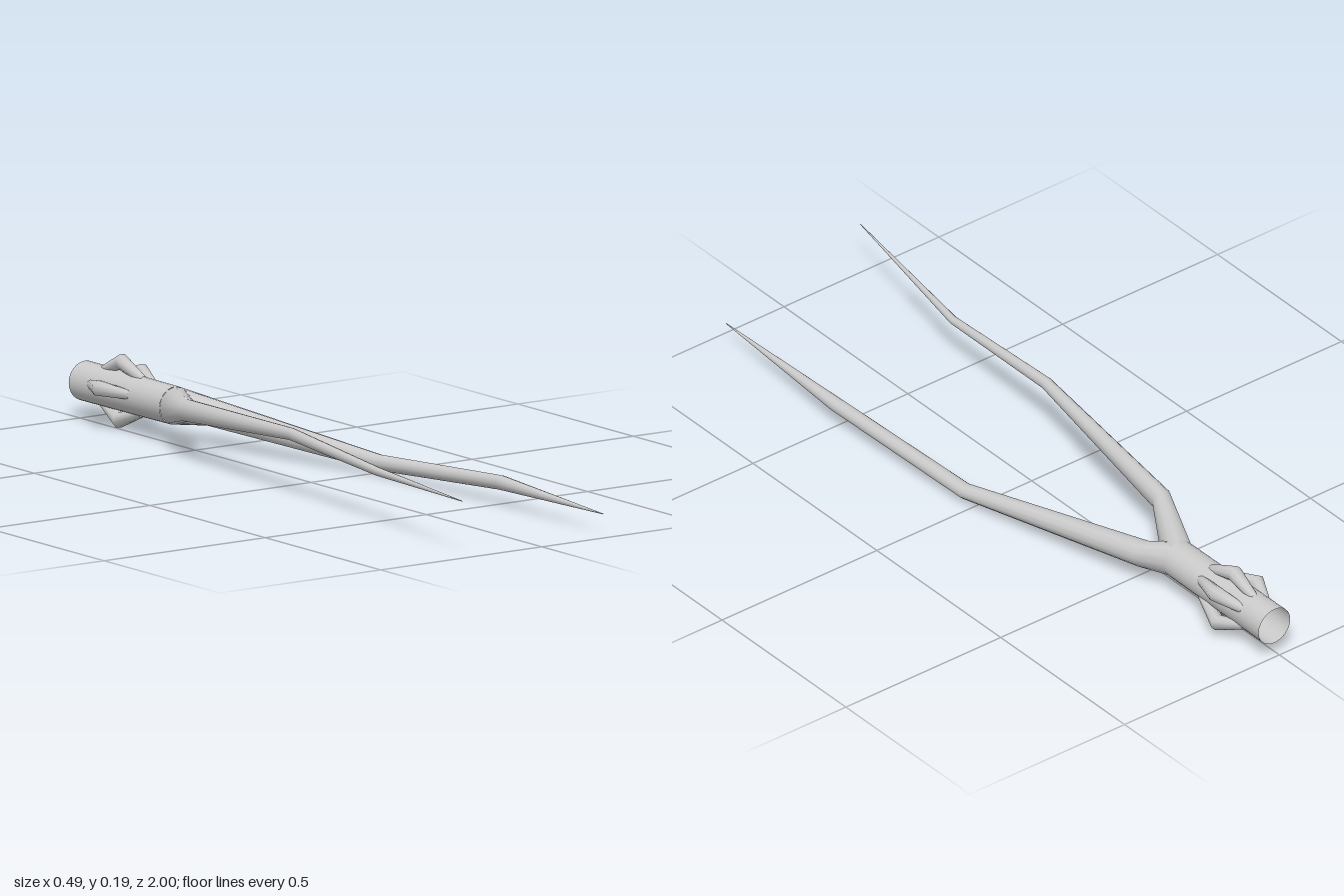
import * as THREE from 'three';

const material = new THREE.MeshStandardMaterial({ color: 0xcccccc, side: THREE.DoubleSide });
const CX = 0.016, CY = 0.095;

// Smooth tube through round sections [x, y, z, radius] that advance along +z.
function loft(name, sections, sides, turn = 0) {
  const pos = [], index = [];
  sections.forEach(([x, y, z, r], i) => {
    for (let j = 0; j < sides; j++) {
      const a = turn + (j / sides) * Math.PI * 2;
      pos.push(x + r * Math.cos(a), y + r * Math.sin(a), z);
      if (i === 0) continue;
      const k = (j + 1) % sides, p = (i - 1) * sides, q = i * sides;
      index.push(p + j, p + k, q + j, p + k, q + k, q + j);
    }
  });
  const geometry = new THREE.BufferGeometry();
  geometry.setAttribute('position', new THREE.Float32BufferAttribute(pos, 3));
  geometry.setIndex(index);
  geometry.computeVertexNormals();
  const mesh = new THREE.Mesh(geometry, material);
  mesh.name = name;
  return mesh;
}

export function createModel() {
  const group = new THREE.Group();
  group.name = 'forkedBranch';

  // Hollow stem, open at the back
  group.add(loft('stem', [
    [CX, CY, -1, 0.051],
    [CX, CY, -0.8, 0.05],
    [CX, CY, -0.61, 0.049],
  ], 24));

  // Two bent prongs growing out of the stem and tapering to points
  group.add(loft('leftProng', [
    [CX, CY, -0.61, 0.049],
    [0.064, 0.087, -0.53, 0.036],
    [0.19, 0.034, 0.03, 0.021],
    [0.224, 0.058, 0.51, 0.019],
    [0.211, 0.055, 0.97, 0.001],
  ], 12));
  group.add(loft('rightProng', [
    [CX, CY, -0.61, 0.049],
    [-0.087, 0.127, -0.415, 0.029],
    [-0.152, 0.164, 0.13, 0.016],
    [-0.171, 0.136, 0.53, 0.011],
    [-0.247, 0.147, 1, 0.001],
  ], 12));

  // Ring of small arched knobs around the stem: [radial distance, z, radius]
  const arch = [[0.041, -0.92, 0.012], [0.075, -0.84, 0.021], [0.041, -0.745, 0.012]];
  const knobs = new THREE.Group();
  knobs.name = 'knobs';
  [90, 33, -42, -97, 168].forEach((deg, n) => {
    const a = THREE.MathUtils.degToRad(deg);
    const sections = arch.map(([d, z, r]) =>
      [CX + d * Math.cos(a), CY + d * Math.sin(a), z, r]);
    knobs.add(loft('knob' + (n + 1), sections, 8, a + Math.PI / 8));
  });
  group.add(knobs);
  return group;
}
